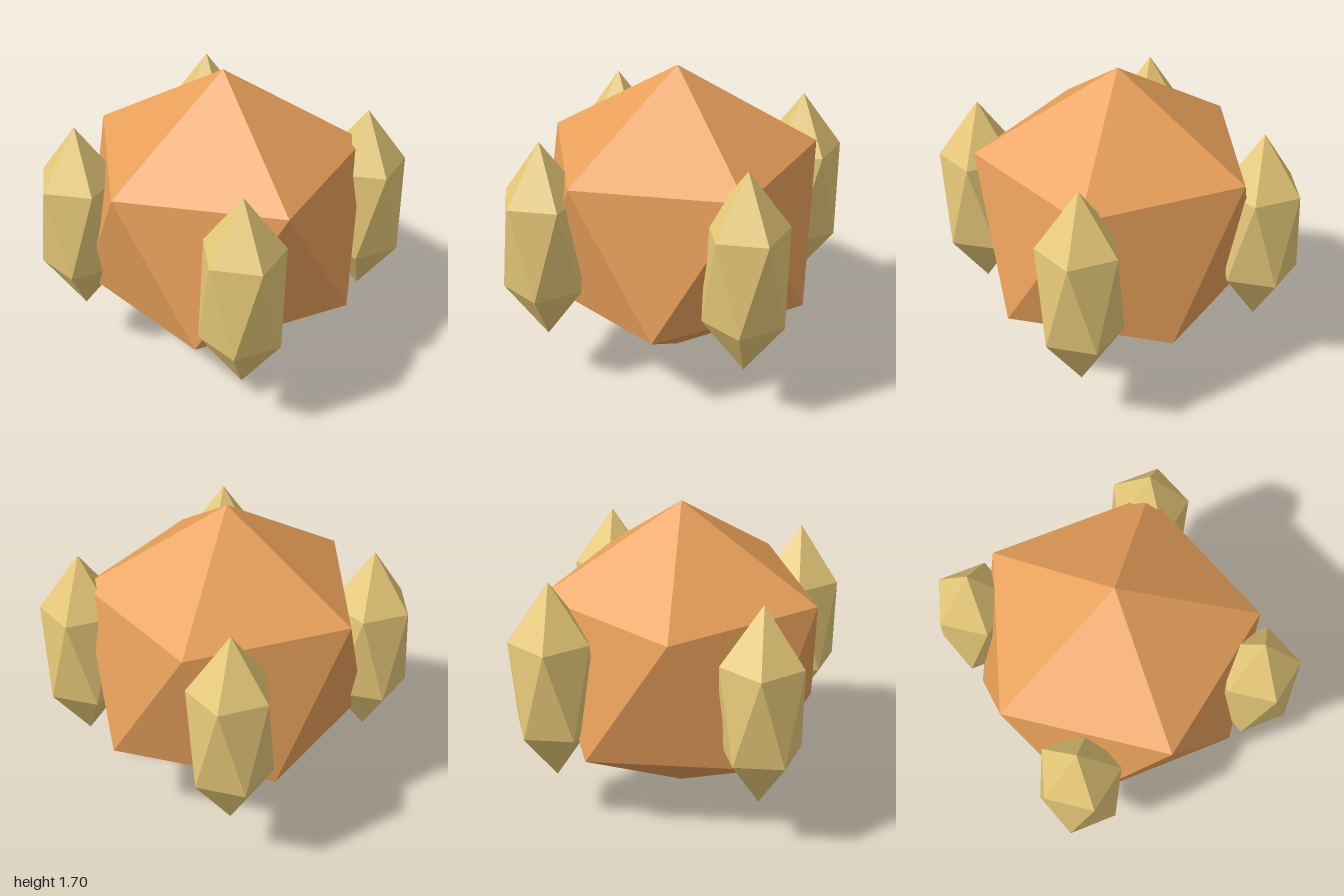
import * as THREE from 'three';

// Icosahedron standing on a vertex, with an upper-ring corner pointing to +x
function crystalGeometry(radius, stretch) {
  const geometry = new THREE.IcosahedronGeometry(radius, 0);
  geometry.rotateZ(-Math.atan2(1, (1 + Math.sqrt(5)) / 2));
  geometry.scale(1, stretch, 1);
  return geometry;
}

export function createModel() {
  const model = new THREE.Group();
  model.name = 'crystalCluster';
  const centreY = 0.85;

  const coreMaterial = new THREE.MeshStandardMaterial({ color: 0xe8a05a, flatShading: true });
  const shardMaterial = new THREE.MeshStandardMaterial({ color: 0xe6c878, flatShading: true });

  // Large central crystal
  const core = new THREE.Mesh(crystalGeometry(0.85, 1), coreMaterial);
  core.name = 'coreCrystal';
  core.position.y = centreY;
  model.add(core);

  // Four tall shards around it, all facing the same way
  const shardGeometry = crystalGeometry(0.248, 2.27);
  const places = { leftShard: [1, 0], rightShard: [-1, 0], frontShard: [0, 1], backShard: [0, -1] };
  for (const [name, [x, z]] of Object.entries(places)) {
    const shard = new THREE.Mesh(shardGeometry, shardMaterial);
    shard.name = name;
    shard.position.set(x * 0.778, centreY, z * 0.778);
    model.add(shard);
  }
  return model;
}
